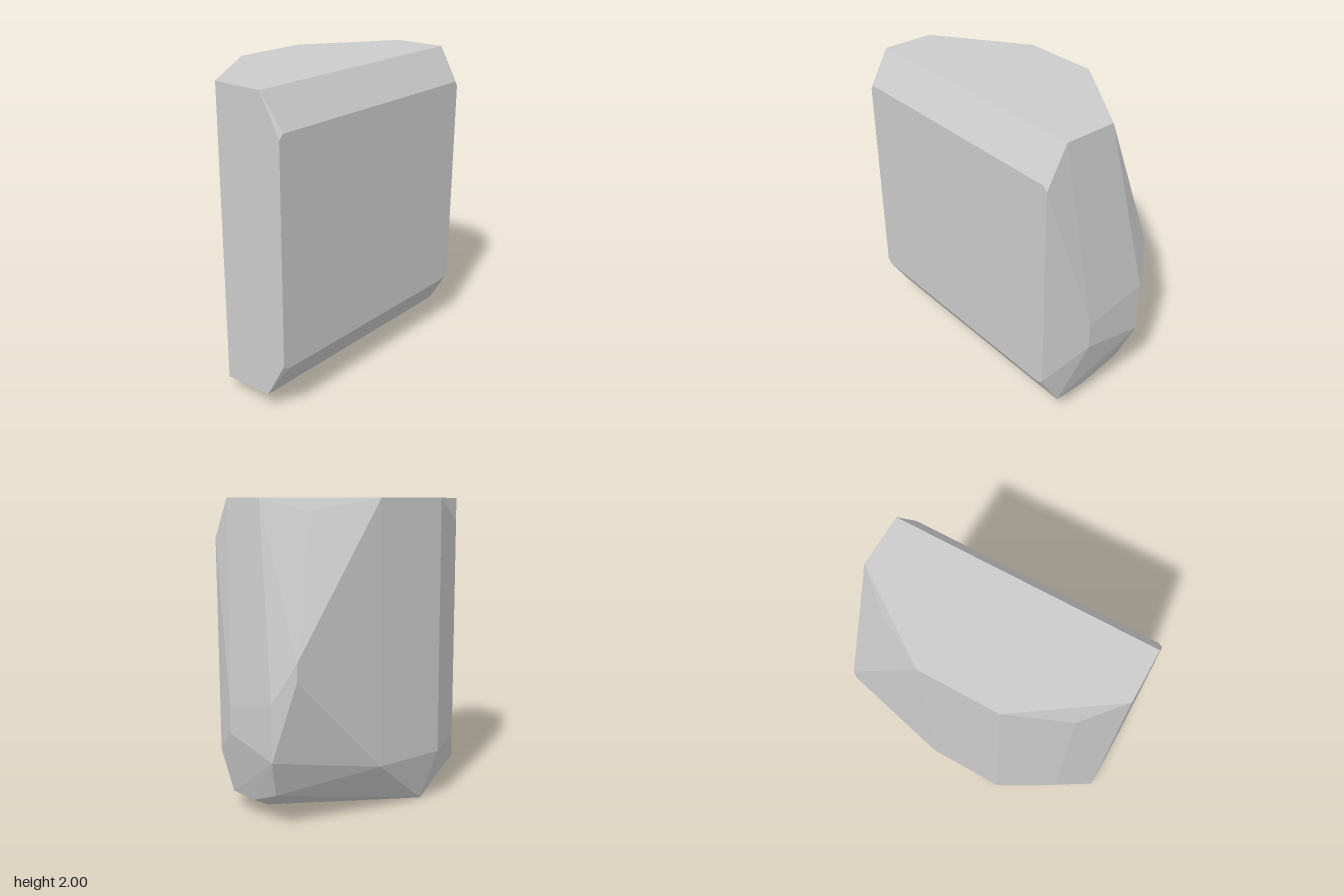
import * as THREE from 'three';
import { ConvexGeometry } from 'three/addons/geometries/ConvexGeometry.js';

const v = (x, y, z) => new THREE.Vector3(x, y, z);

export function createModel() {
  const group = new THREE.Group();
  group.name = 'cutStone';
  const corners = [];

  // Flat front panel with small clipped corners, and its chamfered top and bottom edges
  const left = 0.8, right = -0.91, clip = 0.03;
  for (const [x, inward] of [[right, 1], [left, -1]]) {
    for (const [y, toward] of [[1.78, -1], [0.33, 1]]) {
      corners.push(v(x + inward * clip, y, 0.45), v(x, y + toward * clip, 0.45));
    }
    corners.push(v(x, 2, 0.31), v(x, 0.11, 0.31));
    corners.push(v(x, 2, -0.04));
  }

  // Flat back face
  for (const x of [-0.32, 0.2]) corners.push(v(x, 2, -0.45), v(x, 0.33, -0.45));

  // Bevelled rear corner on the straight side
  corners.push(v(-0.69, 1.84, -0.24), v(-0.69, 0.33, -0.24), v(-0.91, 0.09, -0.04));

  // Bulging broken side
  corners.push(
    v(0.58, 1.92, -0.23),
    v(0.81, 1.06, -0.4), v(0.81, 0.95, -0.4),
    v(0.91, 0.81, -0.28), v(0.91, 0.46, -0.28),
    v(0.91, 0.73, 0.16), v(0.91, 0.55, 0.16),
    v(0.83, 0.22, -0.2), v(0.8, 0.11, 0.08),
  );

  // Pointed underside
  corners.push(v(0.75, 0.09, 0), v(-0.2, 0, -0.2), v(-0.27, 0, -0.2), v(-0.24, 0, -0.37));

  const stone = new THREE.Mesh(
    new ConvexGeometry(corners),
    new THREE.MeshStandardMaterial({ color: 0xcccccc, flatShading: true }),
  );
  stone.name = 'stoneBlock';
  group.add(stone);
  return group;
}
